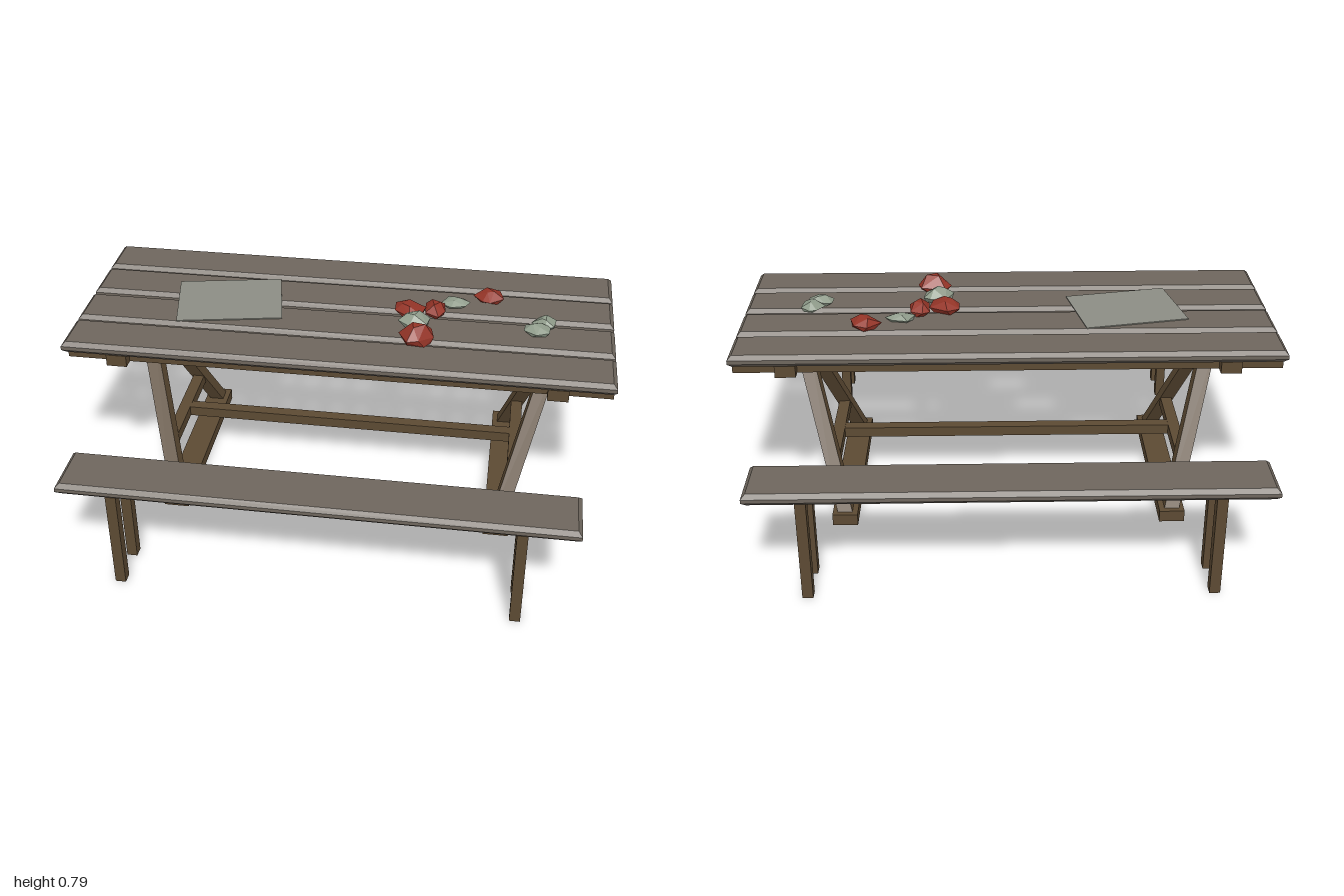
import * as THREE from 'three';
import { ConvexGeometry } from 'three/addons/geometries/ConvexGeometry.js';

const mat = (color, extra = {}) => new THREE.MeshStandardMaterial({ color, ...extra });

export function createModel() {
  const model = new THREE.Group();
  const plankMat = mat(0x6e665d);
  const beamMat = mat(0x5c4a33);
  const redMat = mat(0x943427, { flatShading: true });
  const greenMat = mat(0x8f9b8a, { flatShading: true });

  const add = (parent, name, geo, material, x = 0, y = 0, z = 0) => {
    const mesh = new THREE.Mesh(geo, material);
    mesh.name = name;
    mesh.position.set(x, y, z);
    parent.add(mesh);
    return mesh;
  };
  const group = (name) => {
    const g = new THREE.Group();
    g.name = name;
    model.add(g);
    return g;
  };
  const beam = (parent, name, w, h, d, x, y, z) =>
    add(parent, name, new THREE.BoxGeometry(w, h, d), beamMat, x, y, z);

  // Board with chamfered edges all round, lying flat and centred
  const plank = (parent, name, length, height, width, y, z) => {
    const b = 0.015, l = length / 2 - b, w = width / 2 - b;
    const shape = new THREE.Shape([[-l, -w], [l, -w], [l, w], [-l, w]].map((p) => new THREE.Vector2(...p)));
    const geo = new THREE.ExtrudeGeometry(shape, {
      depth: height - 2 * b, bevelThickness: b, bevelSize: b, bevelSegments: 1,
    });
    geo.translate(0, 0, b - height / 2).rotateX(-Math.PI / 2);
    return add(parent, name, geo, plankMat, 0, y, z);
  };

  // Square leg sheared between two points, so its ends stay level
  const slantedLeg = (parent, name, size, top, bottom) => {
    const geo = new THREE.BoxGeometry(size, 1, size);
    const pos = geo.attributes.position;
    for (let i = 0; i < pos.count; i++) {
      const p = bottom.clone().lerp(top, pos.getY(i) + 0.5);
      pos.setXYZ(i, pos.getX(i) + p.x, p.y, pos.getZ(i) + p.z);
    }
    geo.computeVertexNormals();
    add(parent, name, geo, beamMat);
  };

  // Table top
  const top = group('tableTop');
  for (const z of [-0.306, -0.105, 0.105, 0.306]) plank(top, 'topPlank', 2, 0.045, 0.185, 0.6975, z);
  for (const s of [-1, 1]) beam(top, 'longRail', 1.99, 0.048, 0.05, 0, 0.655, s * 0.32);

  // A-frame trestles joined by a stretcher
  const frame = group('trestles');
  for (const s of [-1, 1]) {
    beam(frame, 'crossBar', 0.075, 0.045, 0.77, s * 0.8, 0.6525, 0);
    beam(frame, 'foot', 0.095, 0.045, 0.77, s * 0.622, 0.0225, 0);
    beam(frame, 'trestleBrace', 0.045, 0.042, 0.525, s * 0.668, 0.2, 0);
    for (const t of [-1, 1]) {
      slantedLeg(frame, 'trestleLeg', 0.056,
        new THREE.Vector3(s * 0.79, 0.635, t * 0.008), new THREE.Vector3(s * 0.622, 0.04, t * 0.338));
    }
  }
  beam(frame, 'stretcher', 1.35, 0.04, 0.045, 0, 0.2, 0);

  // Two benches
  for (const s of [-1, 1]) {
    const bench = group(s > 0 ? 'frontBench' : 'backBench');
    plank(bench, 'benchSeat', 1.81, 0.044, 0.21, 0.403, s * 0.745);
    for (const x of [-0.71, 0.71]) {
      for (const z of [0.675, 0.82]) beam(bench, 'benchLeg', 0.038, 0.385, 0.04, x, 0.1925, s * z);
    }
  }

  // Sheet lying on the table
  const sheet = add(model, 'sheet', new THREE.BoxGeometry(0.395, 0.004, 0.305), mat(0x8c8d84), -0.457, 0.723, 0);
  sheet.rotation.y = 0.195;

  // Faceted stones: convex hulls of jittered points, flat underneath
  let seed = 7;
  const rand = () => (seed = (seed * 16807) % 2147483647) / 2147483647;
  const stones = group('stones');
  const stone = (name, material, x, z, w, h, d, turn) => {
    const pts = [];
    const rings = [[0, 0.75, 5], [0.4, 1, 6], [0.95, 0.4, 3]];
    for (const [y, r, n] of rings) {
      for (let i = 0; i < n; i++) {
        const a = ((i + 0.6 * rand()) / n) * Math.PI * 2 + turn;
        const k = r * (0.85 + 0.2 * rand()) / 2;
        pts.push(new THREE.Vector3(Math.cos(a) * k * w, (y + (y > 0 ? 0.15 * (rand() - 0.5) : 0)) * h, Math.sin(a) * k * d));
      }
    }
    add(stones, name, new ConvexGeometry(pts), material, x, 0.719, z);
  };
  stone('redStone', redMat, 0.235, 0.0, 0.13, 0.05, 0.14, 0.3);
  stone('redStone', redMat, 0.33, -0.02, 0.1, 0.05, 0.13, 1.1);
  stone('redStone', redMat, 0.53, -0.15, 0.12, 0.047, 0.12, 2.0);
  stone('redStone', redMat, 0.28, 0.195, 0.15, 0.068, 0.13, 0.8);
  stone('greenStone', greenMat, 0.26, 0.085, 0.14, 0.06, 0.1, 0.5);
  stone('greenStone', greenMat, 0.4, -0.09, 0.12, 0.03, 0.09, 1.6);
  stone('greenStone', greenMat, 0.745, 0.02, 0.1, 0.038, 0.1, 2.6);
  stone('greenStone', greenMat, 0.715, 0.075, 0.11, 0.036, 0.09, 0.1);

  return model;
}
